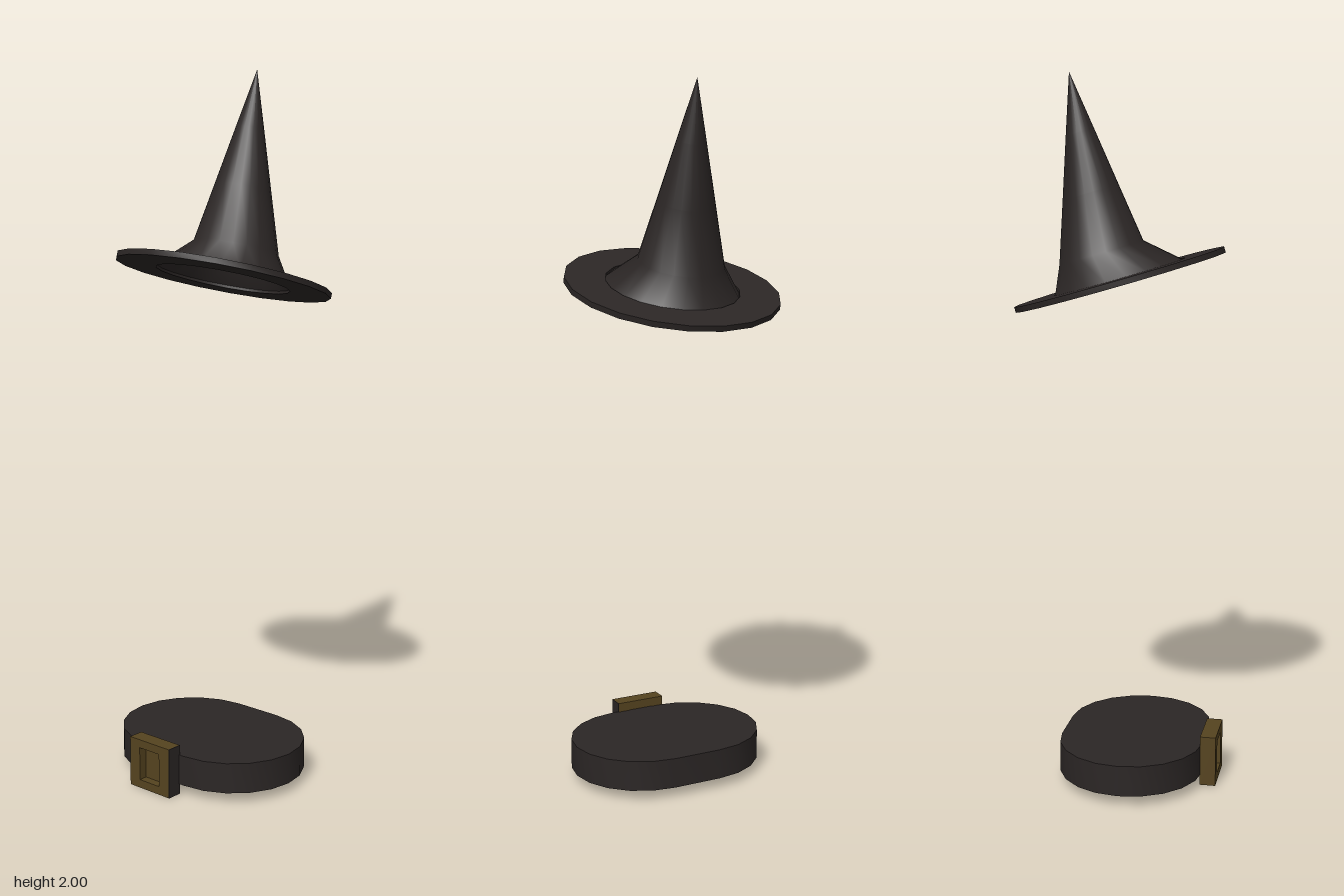
import * as THREE from 'three';
import { toCreasedNormals } from 'three/addons/utils/BufferGeometryUtils.js';

const cloth = new THREE.MeshStandardMaterial({ color: 0x2b2625, side: THREE.DoubleSide });
const brass = new THREE.MeshStandardMaterial({ color: 0x55431f });

function add(parent, name, geometry, material) {
  const mesh = new THREE.Mesh(geometry, material);
  mesh.name = name;
  parent.add(mesh);
  return mesh;
}

// Flat outline in x/z, extruded upwards from y = 0
function slab(shape, height, curveSegments) {
  const geometry = new THREE.ExtrudeGeometry(shape, { depth: height, bevelEnabled: false, curveSegments });
  return toCreasedNormals(geometry.rotateX(-Math.PI / 2), 0.6);
}

function createHat() {
  const hat = new THREE.Group();
  hat.name = 'hat';
  hat.position.y = 1.434;
  hat.rotation.x = -0.285;

  // Flat ring brim, open underneath
  const ring = new THREE.Shape().absarc(0, 0, 0.305, 0, Math.PI * 2);
  ring.holes.push(new THREE.Path().absarc(0, 0, 0.19, 0, Math.PI * 2, true));
  add(hat, 'brim', slab(ring, 0.016, 10), cloth).position.y = -0.008;

  // Hollow flared crown; its axis bends back at the flare, then forward to the tip
  const profile = [[0.19, 0], [0.122, 0.086], [0.0815, 0.251], [0.041, 0.417], [0, 0.583]];
  const crown = new THREE.LatheGeometry(profile.map(([r, y]) => new THREE.Vector2(r, y)), 20);
  const p = crown.attributes.position;
  for (let i = 0; i < p.count; i++) {
    const y = p.getY(i);
    const shift = y < 0.086 ? -0.03 * (y / 0.086) : -0.03 + 0.052 * (y - 0.086) / 0.497;
    p.setZ(i, p.getZ(i) + shift);
  }
  add(hat, 'crown', crown, cloth);
  return hat;
}

function createBelt() {
  const belt = new THREE.Group();
  belt.name = 'belt';

  // Solid band with straight front and back and rounded ends
  const outline = new THREE.Shape();
  outline.absellipse(0.073, 0, 0.212, 0.206, -Math.PI / 2, Math.PI / 2);
  outline.absellipse(-0.073, 0, 0.212, 0.206, Math.PI / 2, Math.PI * 1.5);
  outline.closePath();
  add(belt, 'band', slab(outline, 0.087, 5), cloth).position.set(0, 0.03, 0.048);

  // Rectangular buckle frame around a recessed plate
  const buckle = new THREE.Group();
  buckle.name = 'buckle';
  buckle.position.set(-0.02, 0.072, 0.25);
  const frame = new THREE.Shape();
  frame.moveTo(-0.074, -0.072).lineTo(0.074, -0.072).lineTo(0.074, 0.072).lineTo(-0.074, 0.072).closePath();
  const hole = new THREE.Path();
  hole.moveTo(-0.037, -0.048).lineTo(-0.037, 0.048).lineTo(0.037, 0.048).lineTo(0.037, -0.048).closePath();
  frame.holes.push(hole);
  add(buckle, 'buckleFrame', new THREE.ExtrudeGeometry(frame, { depth: 0.045, bevelEnabled: false }), brass);
  add(buckle, 'bucklePlate', new THREE.BoxGeometry(0.08, 0.1, 0.018), brass).position.z = 0.011;
  // Dark strip on the left edge of the buckle
  add(buckle, 'buckleEdge', new THREE.BoxGeometry(0.002, 0.144, 0.045), cloth).position.set(0.075, 0, 0.0225);
  belt.add(buckle);
  return belt;
}

export function createModel() {
  const model = new THREE.Group();
  model.name = 'hatAndBelt';
  model.add(createHat(), createBelt());
  return model;
}
